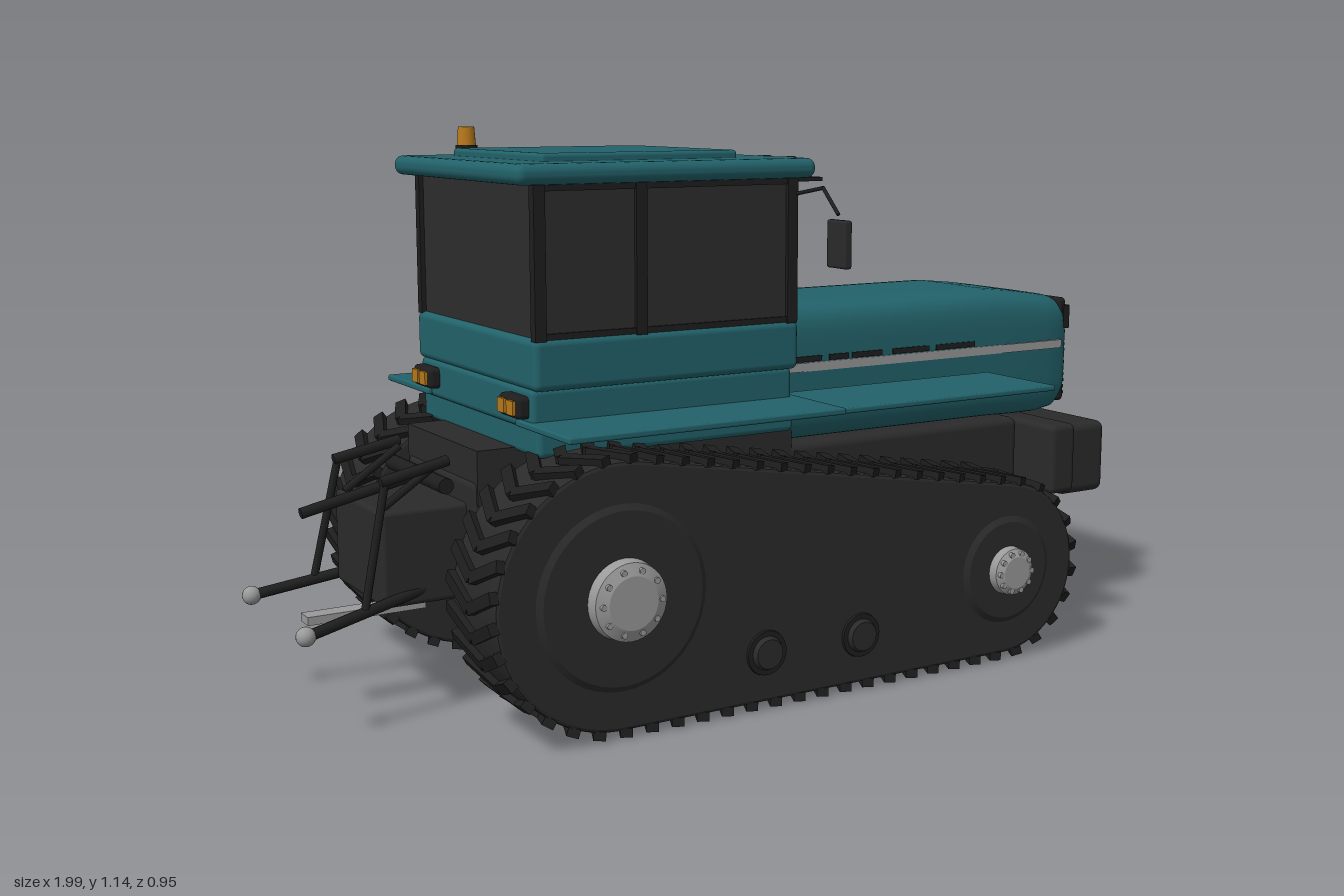
import * as THREE from 'three';
import { RoundedBoxGeometry } from 'three/addons/geometries/RoundedBoxGeometry.js';
import { mergeGeometries } from 'three/addons/utils/BufferGeometryUtils.js';

const mat = (name, color, side = THREE.FrontSide) => {
  const m = new THREE.MeshStandardMaterial({ color, side });
  m.name = name;
  return m;
};

export function createModel() {
  const root = new THREE.Group();
  root.name = 'trackedTractor';
  const teal = mat('tealPaint', 0x22626a), rubber = mat('darkRubber', 0x2a2a2a);
  const black = mat('blackTrim', 0x1e1e1e), glass = mat('tintedGlass', 0x2d2d2d);
  const grey = mat('greyMetal', 0x9a9a9a), amber = mat('amberLamp', 0xb87a1c);

  const add = (name, geo, m, x = 0, y = 0, z = 0) => {
    const mesh = new THREE.Mesh(geo, m);
    mesh.name = name;
    mesh.position.set(x, y, z);
    root.add(mesh);
    return mesh;
  };
  // Boxes given by their limits: [x0, x1, y0, y1, z0, z1]
  const box = (name, m, [x0, x1, y0, y1, z0, z1], r = 0) => {
    const s = [x1 - x0, y1 - y0, z1 - z0];
    const geo = r ? new RoundedBoxGeometry(...s, 3, r) : new THREE.BoxGeometry(...s);
    return add(name, geo, m, (x0 + x1) / 2, (y0 + y1) / 2, (z0 + z1) / 2);
  };
  // Straight rod between two points
  const rod = (name, m, a, b, r, sides = 10) => {
    const p = new THREE.Vector3(...a), q = new THREE.Vector3(...b), d = q.clone().sub(p);
    const mesh = add(name, new THREE.CylinderGeometry(r, r, d.length(), sides), m);
    mesh.position.copy(p).add(q).multiplyScalar(0.5);
    mesh.quaternion.setFromUnitVectors(new THREE.Vector3(0, 1, 0), d.normalize());
  };
  // Round disc along z; s is the side it faces
  const disc = (name, m, x, y, z0, z1, rIn, rOut, s) => {
    const mesh = add(name, new THREE.CylinderGeometry(rOut, rIn, z1 - z0, 40), m, x, y, s * (z0 + z1) / 2);
    mesh.rotation.x = s * Math.PI / 2;
  };

  // Track outline: two wheels joined by their outer tangents
  const A = { x: -0.452, y: 0.274, r: 0.262 }, B = { x: 0.485, y: 0.2, r: 0.188 };
  const axis = Math.atan2(B.y - A.y, B.x - A.x);
  const phi = Math.acos((A.r - B.r) / Math.hypot(B.x - A.x, B.y - A.y));
  const up = axis + phi, low = axis - phi;
  const outline = new THREE.Shape();
  outline.absarc(B.x, B.y, B.r, low, up, false);
  outline.absarc(A.x, A.y, A.r, up, low + 2 * Math.PI, false);
  outline.closePath();
  const beltGeo = new THREE.ExtrudeGeometry(outline, {
    depth: 0.18, bevelSize: 0.008, bevelThickness: 0.008, bevelOffset: -0.008, bevelSegments: 2, curveSegments: 40,
  });

  // Chevron lugs spaced around the belt
  const lugs = [], count = 58;
  for (let i = 0; i < count; i++) {
    const p = outline.getPointAt(i / count), t = outline.getTangentAt(i / count);
    for (const s of [-1, 1]) {
      const g = new THREE.BoxGeometry(0.024, 0.018, 0.106);
      g.rotateY(-s * 0.42);
      g.translate(0, 0, s * 0.049);
      g.rotateZ(Math.atan2(t.y, t.x));
      g.translate(p.x + t.y * 0.004, p.y - t.x * 0.004, 0);
      lugs.push(g);
    }
  }
  const lugGeo = mergeGeometries(lugs);

  for (const s of [1, -1]) {
    add('trackBelt', beltGeo, rubber, 0, 0, s * 0.334 - 0.09);
    add('trackLugs', lugGeo, black, 0, 0, s * 0.334);
    // Wheels, hubs with bolts, and idlers
    for (const [w, hub, face, out] of [[A, 0.08, 0.2, 0.475], [B, 0.053, 0.135, 0.47]]) {
      disc('wheelDisc', rubber, w.x, w.y, 0.42, 0.44, face, face - 0.03, s);
      disc('wheelHub', grey, w.x, w.y, 0.435, out - 0.01, hub, hub * 0.95, s);
      disc('hubCap', grey, w.x, w.y, out - 0.01, out, hub * 0.95, hub * 0.65, s);
      for (let k = 0; k < 10; k++) {
        const a = k * Math.PI / 5;
        disc('hubBolt', grey, w.x + Math.cos(a) * hub * 0.78, w.y + Math.sin(a) * hub * 0.78, out - 0.01, out, 0.006, 0.006, s);
      }
    }
    for (const x of [-0.13, 0.1]) {
      disc('idlerRim', black, x, 0.115, 0.425, 0.437, 0.048, 0.045, s);
      disc('idlerCap', rubber, x, 0.115, 0.43, 0.447, 0.038, 0.03, s);
    }
  }

  // Chassis and front weights
  box('chassis', rubber, [-0.635, 0.735, 0.24, 0.47, -0.175, 0.175], 0.018);
  box('rearHousing', rubber, [-0.63, 0.1, 0.42, 0.53, -0.175, 0.175]);
  box('axleFront', rubber, [0.43, 0.55, 0.16, 0.26, -0.25, 0.25]);
  box('axleRear', rubber, [-0.53, -0.37, 0.2, 0.36, -0.25, 0.25]);
  box('weightCarrier', rubber, [0.815, 0.89, 0.28, 0.445, -0.205, 0.205], 0.015);
  box('frontWeight', rubber, [0.86, 0.997, 0.27, 0.44, -0.19, 0.19], 0.02);

  // Hood lofted from rounded cross-sections: x, bottom, top, half width
  const sections = [[-0.01, 0.47, 0.77, 0.184], [0.66, 0.47, 0.77, 0.184], [0.74, 0.468, 0.762, 0.183],
    [0.81, 0.468, 0.752, 0.181], [0.855, 0.474, 0.745, 0.176], [0.878, 0.49, 0.735, 0.166]];
  const N = 48, pos = [], idx = [];
  for (const [x, b, t, w] of sections) {
    for (let i = 0; i < N; i++) {
      const a = i / N * 2 * Math.PI, c = Math.cos(a), d = Math.sin(a);
      pos.push(x, (b + t) / 2 + (t - b) / 2 * Math.sign(d) * Math.abs(d) ** 0.42, w * Math.sign(c) * Math.abs(c) ** 0.3);
    }
  }
  for (let j = 0; j < sections.length - 1; j++) {
    for (let i = 0; i < N; i++) {
      const a = j * N + i, b = j * N + (i + 1) % N;
      idx.push(a, a + N, b, b, a + N, b + N);
    }
  }
  pos.push(0.88, 0.61, 0);
  const last = (sections.length - 1) * N;
  for (let i = 0; i < N; i++) idx.push(last + i, sections.length * N, last + (i + 1) % N);
  const hood = new THREE.BufferGeometry();
  hood.setAttribute('position', new THREE.Float32BufferAttribute(pos, 3));
  hood.setIndex(idx);
  hood.computeVertexNormals();
  add('hood', hood, mat('tealHood', 0x22626a, THREE.DoubleSide));

  // Grille with slats and headlights
  box('grille', black, [0.86, 0.884, 0.495, 0.74, -0.163, 0.163], 0.01);
  for (let i = 0; i < 15; i++) {
    const y = 0.51 + i * 0.0145;
    box('grilleSlat', rubber, [0.88, 0.889, y, y + 0.007, -0.155, 0.155]);
  }
  for (const s of [1, -1]) {
    box('headlightFrame', black, [0.872, 0.89, 0.668, 0.722, s * 0.122 - 0.045, s * 0.122 + 0.045]);
    for (const y of [0.676, 0.691, 0.706]) {
      box('headlightBar', grey, [0.885, 0.893, y, y + 0.01, s * 0.122 - 0.038, s * 0.122 + 0.038]);
    }
    box('headlightEnd', grey, [0.885, 0.893, 0.676, 0.716, s * 0.157 - 0.006, s * 0.157 + 0.006]);
    // Side stripe and vents
    box('hoodStripe', grey, [0.04, 0.85, 0.626, 0.645, s * 0.182 - 0.0045, s * 0.182 + 0.0045]);
    for (const [a, b] of [[0.05, 0.17], [0.19, 0.24], [0.25, 0.33], [0.36, 0.46], [0.48, 0.59]]) {
      box('hoodVent', black, [a, b, 0.647, 0.659, s * 0.182 - 0.0045, s * 0.182 + 0.0045]);
    }
    // Fenders
    box('rearFender', teal, [-0.567, 0.05, 0.58, 0.593, s * 0.33 - 0.115, s * 0.33 + 0.115], 0.004);
    box('frontFender', teal, [0.05, 0.605, 0.58, 0.592, s * 0.327 - 0.113, s * 0.327 + 0.113], 0.004);
  }

  // Cab: lower body, glass and posts
  box('cabBase', teal, [-0.55, 0.035, 0.522, 0.59, -0.28, 0.28], 0.012);
  box('cabMiddle', teal, [-0.558, 0.035, 0.575, 0.656, -0.272, 0.272], 0.012);
  box('cabWaist', teal, [-0.558, 0.042, 0.652, 0.752, -0.287, 0.287], 0.014);
  box('cabGlass', glass, [-0.545, 0.03, 0.745, 1.045, -0.278, 0.278]);
  for (const s of [1, -1]) {
    for (const x of [-0.543, -0.325, 0.025]) {
      box('cabPost', black, [x - 0.012, x + 0.012, 0.748, 1.045, s * 0.276 - 0.01, s * 0.276 + 0.01]);
    }
    box('sideSill', black, [-0.55, 0.035, 0.75, 0.762, s * 0.278 - 0.005, s * 0.278 + 0.005]);
    box('sideHeader', black, [-0.55, 0.035, 1.03, 1.044, s * 0.278 - 0.005, s * 0.278 + 0.005]);
    // Mirrors
    const arm = [[0.035, 1.01, s * 0.28], [0.045, 1.025, s * 0.362], [0.043, 0.975, s * 0.418]];
    rod('mirrorArm', black, arm[0], arm[1], 0.004);
    rod('mirrorArm', black, arm[1], arm[2], 0.004);
    box('mirror', rubber, [0.034, 0.052, 0.87, 0.965, s * 0.422 - 0.032, s * 0.422 + 0.032], 0.005);
    // Rear lamps
    box('rearLampHousing', black, [-0.582, -0.55, 0.598, 0.642, s * 0.215 - 0.045, s * 0.215 + 0.045], 0.01);
    for (const z of [0.195, 0.235]) box('rearLamp', amber, [-0.588, -0.58, 0.606, 0.634, s * z - 0.015, s * z + 0.015]);
  }
  box('doorHandle', black, [-0.29, -0.275, 0.82, 0.88, -0.292, -0.278]);

  // Wipers
  rod('wiper', black, [0.036, 0.955, -0.155], [0.036, 0.79, -0.11], 0.004);
  rod('wiper', black, [0.036, 0.955, 0.07], [0.036, 0.79, 0.115], 0.004);

  // Roof, visor, work lights and beacon
  box('roof', teal, [-0.597, 0.072, 1.042, 1.082, -0.306, 0.306], 0.018);
  box('roofHatch', teal, [-0.5, -0.06, 1.075, 1.098, -0.21, 0.21], 0.008);
  box('visor', black, [0.02, 0.106, 1.034, 1.042, -0.272, 0.272]);
  for (const z of [0.21, 0.117, -0.11, -0.2]) {
    rod('workLightRim', black, [0.05, 1.062, z], [0.078, 1.062, z], 0.021, 20);
    rod('workLight', grey, [0.07, 1.062, z], [0.083, 1.062, z], 0.017, 20);
  }
  rod('beaconBase', black, [-0.47, 1.09, -0.207], [-0.47, 1.104, -0.207], 0.023, 20);
  add('beacon', new THREE.CylinderGeometry(0.017, 0.02, 0.04, 20), amber, -0.47, 1.122, -0.207);

  // Exhaust stack
  rod('exhaust', rubber, [0.1, 0.74, 0.102], [0.1, 1.056, 0.102], 0.021, 24);

  // Grab rail and ladder on the right-hand side
  rod('grabRail', grey, [0.02, 0.62, -0.295], [0.02, 0.96, -0.295], 0.005);
  for (const x of [-0.165, -0.055]) box('ladderRail', black, [x - 0.006, x + 0.006, 0.3, 0.585, -0.46, -0.45]);
  for (const y of [0.325, 0.425, 0.525]) {
    for (const z of [-0.47, -0.45, -0.43]) box('ladderRung', black, [-0.165, -0.055, y - 0.005, y + 0.005, z - 0.006, z + 0.006]);
    for (const x of [-0.165, -0.055]) box('rungEnd', black, [x - 0.005, x + 0.005, y - 0.005, y + 0.005, -0.476, -0.42]);
  }

  // Rear hitch
  box('hitchBlock', rubber, [-0.81, -0.62, 0.23, 0.42, -0.13, 0.13], 0.01);
  box('drawbar', grey, [-0.925, -0.68, 0.188, 0.205, -0.02, 0.02]);
  rod('topLink', black, [-0.925, 0.408, 0], [-0.68, 0.46, 0], 0.011);
  rod('liftShaft', black, [-0.68, 0.46, -0.14], [-0.68, 0.46, 0.14], 0.016);
  for (const s of [1, -1]) {
    rod('lowerLink', black, [-0.97, 0.214, s * 0.165], [-0.7, 0.262, s * 0.115], 0.011);
    add('linkBall', new THREE.SphereGeometry(0.019, 16, 12), grey, -0.978, 0.213, s * 0.165);
    rod('liftArm', black, [-0.81, 0.48, s * 0.13], [-0.67, 0.508, s * 0.125], 0.011);
    rod('liftBrace', black, [-0.8, 0.42, s * 0.1], [-0.68, 0.5, s * 0.1], 0.008);
    rod('liftRod', black, [-0.855, 0.232, s * 0.145], [-0.8, 0.485, s * 0.13], 0.008);
  }
  return root;
}
